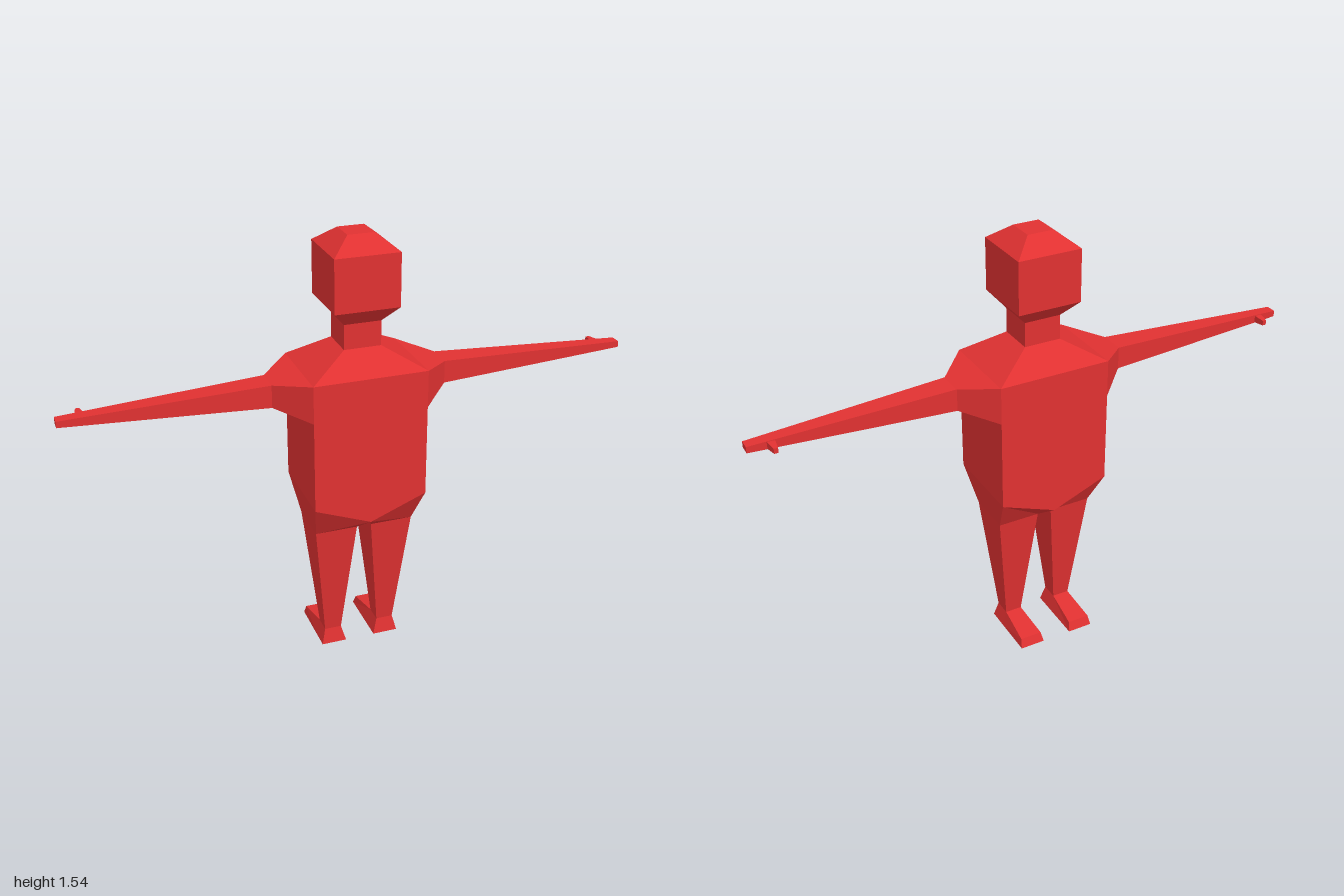
import * as THREE from 'three';

const red = new THREE.MeshStandardMaterial({ color: 0xe03131 });
red.name = 'red';

// Rectangular rings of four corners, across each axis
const ringY = (y, x0, x1, z0, z1) => [[x0, y, z1], [x1, y, z1], [x1, y, z0], [x0, y, z0]];
const ringX = (x, y0, y1, z0, z1) => [[x, y0, z0], [x, y1, z0], [x, y1, z1], [x, y0, z1]];

// Flat-faced skin through a list of rings; side = -1 mirrors it across x
function loft(name, rings, { start = false, end = false, side = 1 } = {}) {
  const tris = [];
  const n = rings[0].length;
  const pts = rings.map(r => r.map(p => new THREE.Vector3(p[0] * side, p[1], p[2])));
  for (let k = 0; k + 1 < pts.length; k++) {
    for (let i = 0; i < n; i++) {
      const j = (i + 1) % n, a = pts[k], b = pts[k + 1];
      tris.push([a[i], a[j], b[j]], [a[i], b[j], b[i]]);
    }
  }
  for (let i = 1; i + 1 < n; i++) {
    const a = pts[0], b = pts[pts.length - 1];
    if (start) tris.push([a[0], a[i + 1], a[i]]);
    if (end) tris.push([b[0], b[i], b[i + 1]]);
  }
  // Turn the faces outward, judged by the signed volume about the centre
  const all = pts.flat();
  const c = all.reduce((s, p) => s.add(p), new THREE.Vector3()).divideScalar(all.length);
  let volume = 0;
  for (const t of tris) {
    const [p, q, r] = t.map(v => v.clone().sub(c));
    volume += p.dot(q.cross(r));
  }
  if (volume < 0) tris.forEach(t => t.reverse());
  const geometry = new THREE.BufferGeometry().setFromPoints(tris.flat());
  geometry.computeVertexNormals();
  const mesh = new THREE.Mesh(geometry, red);
  mesh.name = name;
  return mesh;
}

export function createModel() {
  const model = new THREE.Group();
  model.name = 'figure';

  // Shoulder slope, neck and head
  model.add(loft('neckAndHead', [
    ringY(1.087, -0.2, 0.2, -0.143, 0.167),
    ringY(1.163, -0.065, 0.065, -0.053, 0.078),
    ringY(1.25, -0.065, 0.065, -0.053, 0.078),
    ringY(1.306, -0.113, 0.113, -0.103, 0.127),
    ringY(1.49, -0.113, 0.113, -0.103, 0.127),
    ringY(1.543, -0.046, 0.046, -0.038, 0.06),
  ], { end: true }));

  // Torso, with its lower edge dropping to the crotch
  const torsoRing = (ySide, yMid) => [
    [-0.2, ySide, 0.167], [0, yMid, 0.167], [0.2, ySide, 0.167],
    [0.2, ySide, -0.143], [0, yMid, -0.143], [-0.2, ySide, -0.143],
  ];
  model.add(loft('torso', [torsoRing(0.63, 0.552), torsoRing(1.087, 1.087)]));

  for (const side of [1, -1]) {
    const label = side > 0 ? 'left' : 'right';

    // Shoulder and tapering arm
    model.add(loft(label + 'Arm', [
      ringX(0.2, 0.955, 1.087, -0.143, 0.167),
      ringX(0.307, 0.983, 1.063, -0.038, 0.055),
      ringX(1, 1.011, 1.033, -0.009, 0.03),
    ], { end: true, side }));

    // Thumb
    const thumbRing = (z, x0, x1, y0, y1) => [[x0, y0, z], [x1, y0, z], [x1, y1, z], [x0, y1, z]];
    model.add(loft(label + 'Thumb', [
      thumbRing(0, 0.908, 0.938, 1.01, 1.034),
      thumbRing(-0.02, 0.91, 0.934, 1.01, 1.034),
      thumbRing(-0.055, 0.914, 0.928, 1.013, 1.031),
    ], { end: true, side }));

    // Hip and leg
    model.add(loft(label + 'Leg', [
      [[0, 0.552, 0.167], [0.2, 0.63, 0.167], [0.2, 0.63, -0.143], [0, 0.552, -0.143]],
      ringY(0.5, 0.026, 0.177, -0.07, 0.097),
      ringY(0.057, 0.07, 0.131, -0.018, 0.045),
    ], { side }));

    // Foot
    const footRing = (zLow, zTop, y, x0, x1) =>
      [[0.054, 0, zLow], [0.145, 0, zLow], [x1, y, zTop], [x0, y, zTop]];
    model.add(loft(label + 'Foot', [
      footRing(0.057, 0.045, 0.057, 0.07, 0.131),
      footRing(-0.018, -0.018, 0.057, 0.07, 0.131),
      footRing(-0.168, -0.155, 0.033, 0.06, 0.14),
    ], { start: true, end: true, side }));
  }
  return model;
}
